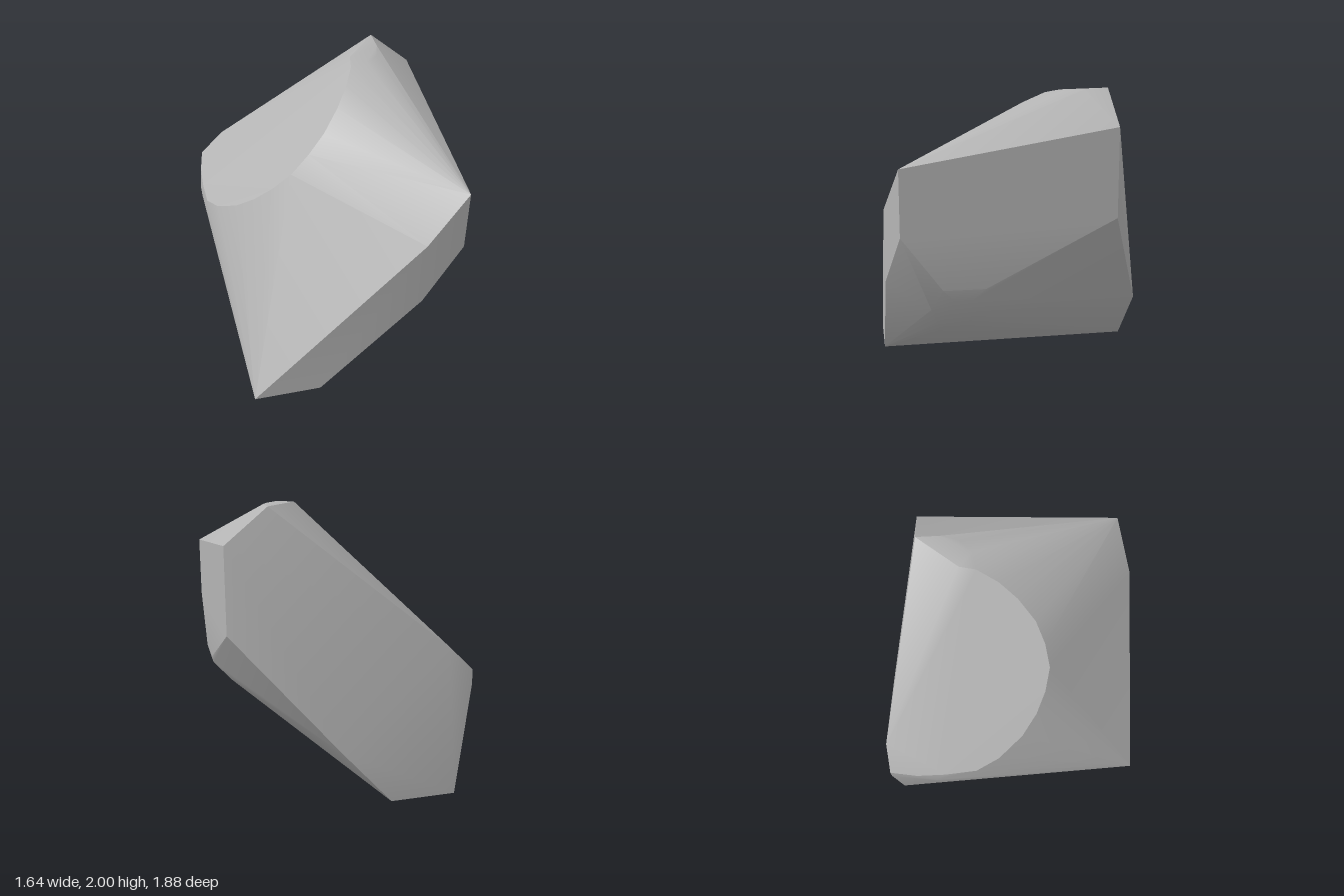
import * as THREE from 'three';
import { ConvexGeometry } from 'three/addons/geometries/ConvexGeometry.js';
import { toCreasedNormals } from 'three/addons/utils/BufferGeometryUtils.js';

export function createModel() {
  const grey = new THREE.MeshStandardMaterial({ color: 0xb4b4b4 });
  grey.name = 'stone grey';

  // front face and its narrow chamfer to the side
  const front = [
    [-0.68, 0, 0.94], [-0.2, 0, 0.94], [0.52, 0.72, 0.94], [0.52, 1.21, 0.94],
    [0.82, 1.08, 0.85], [0.82, 1.52, 0.85],
  ];
  // back face and the upright edge where it meets the side
  const back = [
    [-0.68, 0, -0.94], [-0.22, 0, -0.94], [0.13, 0.4, -0.94], [-0.77, 0.8, -0.94],
    [0.82, 1.16, -0.58], [0.82, 1.76, -0.58],
  ];
  // rounded rim of the flat slanted facet, as x and z on the plane y = x + 1.68
  const rim = [
    [-0.6, -0.94], [-0.7, -0.94], [-0.77, -0.94], [-0.803, -0.75], [-0.81, -0.55],
    [-0.803, -0.32], [-0.74, -0.15], [-0.62, 0.03], [-0.5, 0.14], [-0.38, 0.21],
    [-0.25, 0.25], [-0.12, 0.225], [0, 0.17], [0.12, 0.06], [0.21, -0.06],
    [0.28, -0.2], [0.3, -0.31],
  ].map(([x, z]) => [x, x + 1.68, z]);
  // softened summit and left shoulder
  const summit = [
    [0.53, 2, -0.58], [0.53, 1.99, -0.42], [0.49, 1.975, -0.29], [0.4, 1.975, -0.22],
    [-0.825, 0.8, -0.62], [-0.82, 0.72, -0.6],
  ];
  // worn lower corner on the side
  const wornCorner = [
    [0.82, 0.72, 0.58], [0.82, 0.72, 0.3], [0.8, 0.64, 0.5], [0.8, 0.64, 0.39],
    [0.7, 0.56, 0.65], [0.6, 0.43, 0.6], [0.54, 0.38, 0.52], [0.54, 0.38, 0.42],
    [0.67, 0.5, 0.34],
  ];

  const points = [...front, ...back, ...rim, ...summit, ...wornCorner]
    .map((p) => new THREE.Vector3(...p));
  const geometry = toCreasedNormals(new ConvexGeometry(points), THREE.MathUtils.degToRad(30));

  const stone = new THREE.Mesh(geometry, grey);
  stone.name = 'stone';
  const model = new THREE.Group();
  model.name = 'facetedStone';
  model.add(stone);
  return model;
}
